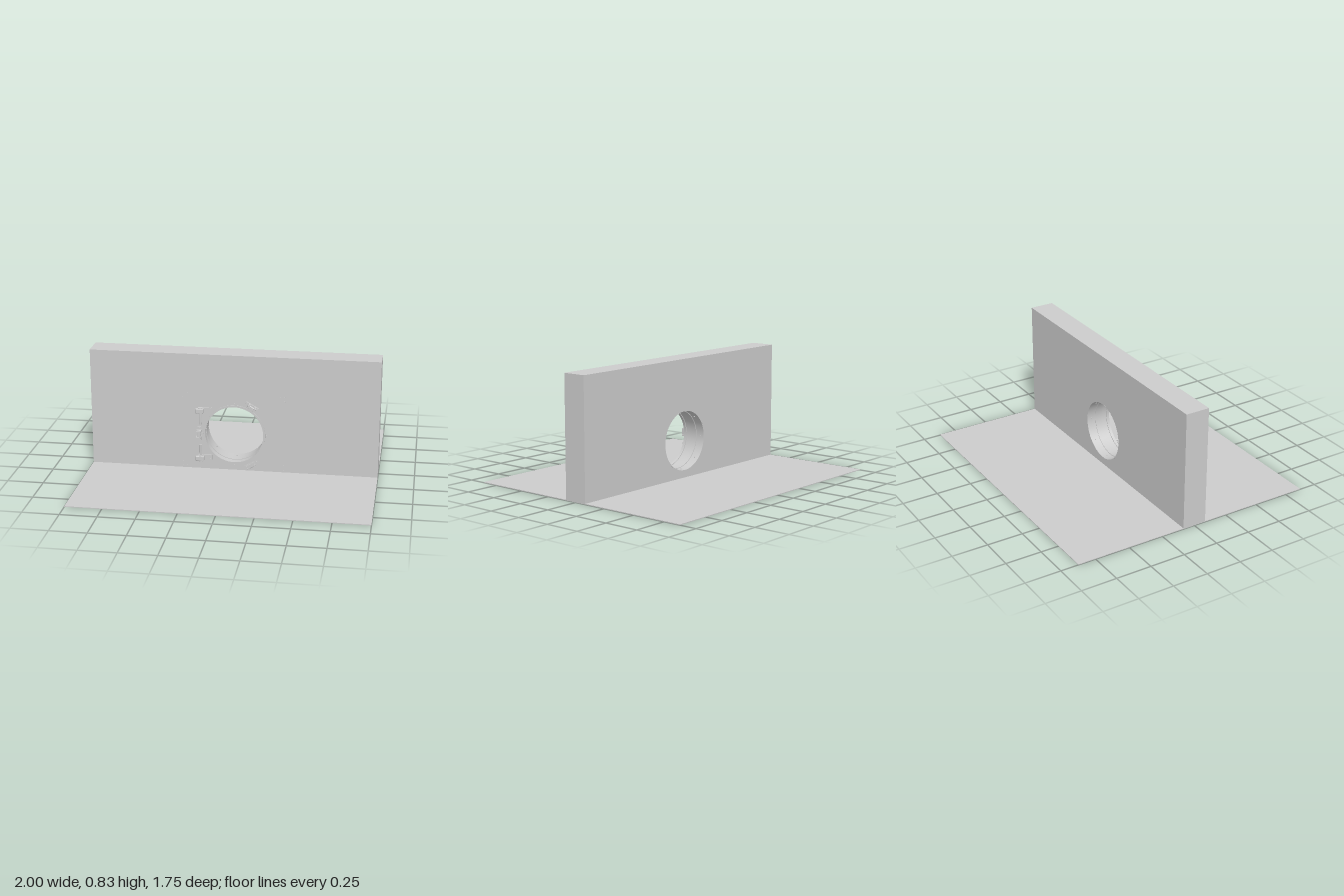
import * as THREE from 'three';
import { RoundedBoxGeometry } from 'three/addons/geometries/RoundedBoxGeometry.js';

const mat = new THREE.MeshStandardMaterial({ color: 0xcccccc });
const flat = new THREE.MeshStandardMaterial({ color: 0xcccccc, flatShading: true });
const HALF = 0.085; // half the wall thickness
const FLOOR = 0.005; // floor thickness
const CX = 0.005, CY = 0.265; // centre of the round opening

function add(parent, name, geometry, x = 0, y = 0, z = 0, material = mat) {
  const mesh = new THREE.Mesh(geometry, material);
  mesh.name = name;
  mesh.position.set(x, y, z);
  parent.add(mesh);
  return mesh;
}

const box = (parent, name, w, h, d, x, y, z) =>
  add(parent, name, new THREE.BoxGeometry(w, h, d), x, y, z);

// cylinder whose axis points out of the wall
function peg(parent, name, r, len, x, y, z, sides = 12) {
  const geo = new THREE.CylinderGeometry(r, r, len, sides).rotateX(Math.PI / 2);
  return add(parent, name, geo, x, y, z);
}

// one box for every cell between neighbouring x cuts
function panelRow(parent, name, cuts, y0, y1) {
  for (let i = 0; i + 1 < cuts.length; i++) {
    const a = cuts[i], b = cuts[i + 1];
    box(parent, name, b - a, y1 - y0, 2 * HALF, (a + b) / 2, (y0 + y1) / 2, 0);
  }
}

function buildFloor() {
  const g = new THREE.Group();
  g.name = 'floor';
  const cols = 11, w = 2 / cols, rows = 6, d = (0.875 - HALF) / rows;
  for (let i = 0; i < cols; i++) {
    const x = -1 + (i + 0.5) * w;
    box(g, 'floorTile', w, FLOOR, 2 * HALF, x, FLOOR / 2, 0);
    for (let j = 0; j < rows; j++)
      for (const s of [-1, 1])
        box(g, 'floorTile', w, FLOOR, d, x, FLOOR / 2, s * (HALF + (j + 0.5) * d));
  }
  return g;
}

function buildWall() {
  const g = new THREE.Group();
  g.name = 'wall';
  panelRow(g, 'wallPanel', [-1, -0.84, -0.685, -0.365, -0.185, 0.18, 0.36, 0.68, 0.84, 1], 0.56, 0.835);
  for (const [y0, y1] of [[FLOOR, 0.28], [0.28, 0.56]]) {
    panelRow(g, 'wallPanel', [-1, -0.84, -0.685, -0.365], y0, y1);
    panelRow(g, 'wallPanel', [0.36, 0.68, 0.84, 1], y0, y1);
  }
  // centre panel with the round opening
  const shape = new THREE.Shape();
  shape.moveTo(-0.365, FLOOR);
  shape.lineTo(0.36, FLOOR);
  shape.lineTo(0.36, 0.56);
  shape.lineTo(-0.365, 0.56);
  shape.closePath();
  shape.holes.push(new THREE.Path().absarc(CX, CY, 0.211, 0, Math.PI * 2, true));
  const geo = new THREE.ExtrudeGeometry(shape, { depth: 2 * HALF, bevelEnabled: false, curveSegments: 48 });
  add(g, 'openingPanel', geo, 0, 0, -HALF);
  // three screws in each corner of the centre panel
  for (const [x, sx] of [[-0.356, 1], [0.351, -1]])
    for (const [y, sy] of [[0.552, -1], [0.018, 1]])
      for (const [dx, dy] of [[0, 0], [0.032, 0], [0, 0.032]])
        peg(g, 'panelScrew', 0.005, 0.005, x + sx * dx, y + sy * dy, HALF + 0.002, 8);
  return g;
}

// stepped liner of the opening with its bolts
function buildCollar() {
  const g = new THREE.Group();
  g.name = 'collar';
  g.position.set(CX, CY, 0);
  const profile = [
    [0.211, -HALF], [0.207, -HALF], [0.207, -0.02], [0.203, -0.02], [0.203, 0.03],
    [0.207, 0.03], [0.207, 0.07], [0.202, 0.07], [0.202, 0.091], [0.216, 0.091], [0.216, 0.084],
  ].map(([r, z]) => new THREE.Vector2(r, z));
  // each step is its own lathe so that the edges stay sharp
  for (let i = 0; i + 1 < profile.length; i++) {
    const geo = new THREE.LatheGeometry([profile[i], profile[i + 1]], 64).rotateX(Math.PI / 2);
    add(g, 'openingLiner', geo).material = liner;
  }
  for (let i = 0; i < 8; i++) {
    const a = (i * Math.PI) / 4;
    const stud = add(g, 'linerStud', new THREE.CylinderGeometry(0.005, 0.005, 0.006, 8),
      0.205 * Math.cos(a), 0.205 * Math.sin(a), -0.05);
    stud.rotation.z = a - Math.PI / 2;
    if (i % 2 === 0)
      peg(g, 'rimBolt', 0.006, 0.008, 0.223 * Math.cos(a), 0.223 * Math.sin(a), HALF + 0.003, 8);
  }
  return g;
}
const liner = new THREE.MeshStandardMaterial({ color: 0xcccccc, side: THREE.DoubleSide });

// clamp: local x runs along the rim, local y points away from the opening
function buildClamp(angle) {
  const g = new THREE.Group();
  g.name = 'rimClamp';
  g.position.set(CX + 0.245 * Math.cos(angle), CY + 0.245 * Math.sin(angle), HALF);
  g.rotation.z = angle - Math.PI / 2;
  box(g, 'clampBase', 0.1, 0.026, 0.01, 0, 0, 0.005);
  for (const s of [-1, 1]) {
    box(g, 'clampCheek', 0.012, 0.034, 0.036, s * 0.022, 0, 0.028);
    peg(g, 'clampBolt', 0.006, 0.008, s * 0.041, 0, 0.013, 6).material = flat;
  }
  box(g, 'clampJaw', 0.03, 0.018, 0.02, 0, -0.006, 0.036);
  add(g, 'clampPin', new THREE.CylinderGeometry(0.006, 0.006, 0.064, 12).rotateZ(Math.PI / 2), 0, 0.006, 0.036);
  return g;
}

// hinge: built for the upper one, dir = -1 flips it for the lower one
function buildHinge(dir) {
  const g = new THREE.Group();
  g.name = dir > 0 ? 'upperHinge' : 'lowerHinge';
  g.position.set(-0.225, CY + dir * 0.175, HALF);
  box(g, 'hingePlate', 0.075, 0.034, 0.008, 0.038, 0, 0.004);
  add(g, 'hingeBlock', new RoundedBoxGeometry(0.058, 0.034, 0.026, 2, 0.004), -0.006, 0, 0.034);
  box(g, 'hingeFoot', 0.03, 0.03, 0.026, -0.006, 0, 0.013);
  add(g, 'hingeKnuckle', new THREE.CylinderGeometry(0.014, 0.014, 0.044, 20), 0, 0, 0.032);
  add(g, 'hingeRod', new THREE.CylinderGeometry(0.008, 0.008, 0.1, 16), 0, -dir * 0.05, 0.032);
  for (const s of [-1, 1])
    peg(g, 'hingeScrew', 0.005, 0.006, 0.062, s * 0.01, 0.01, 8);
  return g;
}

export function createModel() {
  const model = new THREE.Group();
  model.name = 'wallWithRoundOpening';
  model.add(buildFloor(), buildWall(), buildCollar());
  for (const a of [Math.PI / 3, Math.PI, -Math.PI / 3]) model.add(buildClamp(a));
  for (const dir of [1, -1]) model.add(buildHinge(dir));
  return model;
}
